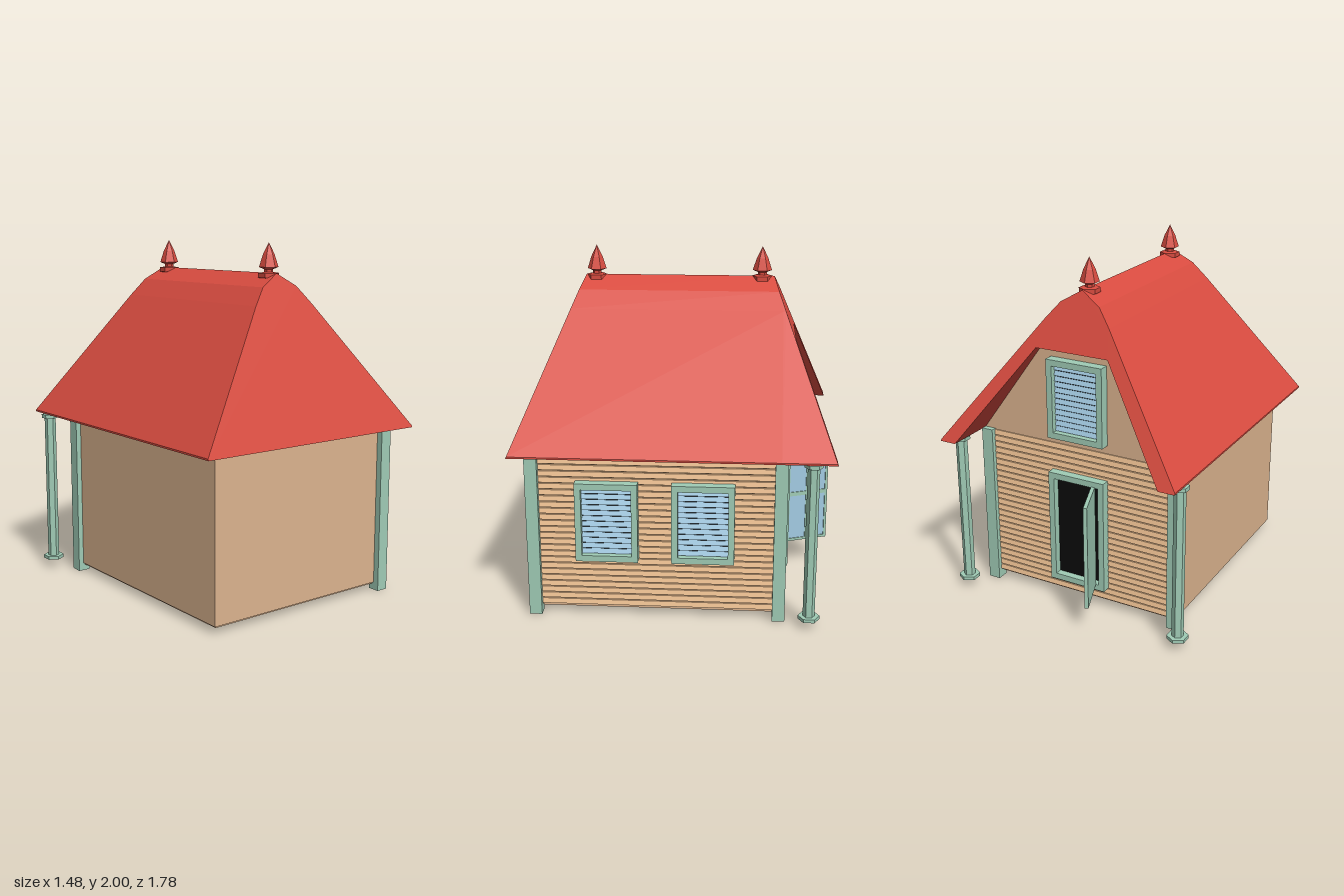
import * as THREE from 'three';

const paint = (color) => new THREE.MeshStandardMaterial({ color, flatShading: true, side: THREE.DoubleSide });

export function createModel() {
  const house = new THREE.Group();
  house.name = 'house';
  const red = paint(0xd94c40), green = paint(0xa0ccb6), plaster = paint(0xdcb48f);
  const wood = paint(0xf3c596), blue = paint(0xa3cbe3), black = paint(0x0a0a0a);

  const add = (name, geometry, material, parent = house) => {
    const mesh = new THREE.Mesh(geometry, material);
    mesh.name = name;
    parent.add(mesh);
    return mesh;
  };
  // Box given by its min and max corners
  const box = (name, [x0, y0, z0], [x1, y1, z1], material, parent) =>
    add(name, new THREE.BoxGeometry(x1 - x0, y1 - y0, z1 - z0)
      .translate((x0 + x1) / 2, (y0 + y1) / 2, (z0 + z1) / 2), material, parent);
  const shapeOf = (points) => new THREE.Shape(points.map(([x, y]) => new THREE.Vector2(x, y)));
  const extrude = (shape, depth) => new THREE.ExtrudeGeometry(shape, { depth, bevelEnabled: false });

  // Walls and floor
  box('walls', [-0.595, 0.045, -0.58], [0.59, 0.97, 0.78], plaster);
  box('floor', [-0.585, 0.035, -0.57], [0.585, 0.046, 0.77], plaster);

  // Gable wall under the open roof end
  const notch = [[0.63, 0.96], [0.22, 1.52], [-0.22, 1.52], [-0.63, 0.96]];
  const gable = add('gableWall', extrude(shapeOf(notch), 0.06), plaster);
  gable.position.set(0.005, 0, -0.588);

  // Clapboards: sawtooth profile swept along a wall
  const siding = (length) => {
    const n = 25, y0 = 0.05, pitch = 0.91 / n, pts = [[-0.01, y0]];
    for (let i = 0; i < n; i++) {
      const y = y0 + i * pitch;
      pts.push([0, y], [0.017, y + 0.007], [0.012, y + pitch * 0.97], [0, y + pitch * 0.98]);
    }
    pts.push([-0.01, 0.96]);
    return extrude(shapeOf(pts), length).translate(0, 0, -length / 2);
  };
  add('sideSiding', siding(1.34), wood).position.set(0.59, 0, 0.1);
  const backSiding = add('backSiding', siding(1.18), wood);
  backSiding.position.z = -0.58;
  backSiding.rotation.y = Math.PI / 2;

  // Corner posts
  for (const [x, z] of [[0.6, 0.78], [0.6, -0.585], [-0.59, -0.585]])
    box('cornerPost', [x - 0.035, 0, z - 0.035], [x + 0.035, 0.965, z + 0.035], green);

  // Porch columns
  const columnProfile = [[0, 0.05], [0.06, 0.05], [0.06, 0.07], [0.033, 0.07], [0.033, 0.935],
    [0.05, 0.935], [0.05, 0.957], [0, 0.957]].map(([r, y]) => new THREE.Vector2(r, y));
  for (const x of [-0.69, 0.685])
    add('porchColumn', new THREE.LatheGeometry(columnProfile, 6), green).position.set(x, 0, -0.75);

  // Roof: gable profiles whose ends are sloped by height
  const ridge = [[0.725, 0.97], [0.197, 1.67], [0.118, 1.765], [0, 1.835],
    [-0.118, 1.765], [-0.197, 1.67], [-0.725, 0.97]];
  const frontZ = (y) => 0.89 - 0.4 * (y - 0.96);
  const backZ = (y) => -0.875 + 0.395 * (y - 0.96);
  const innerZ = (y) => Math.max(-0.58, backZ(y));
  const roofPart = (name, points, startZ, endZ) => {
    const geometry = extrude(shapeOf(points), 1);
    const p = geometry.attributes.position;
    for (let i = 0; i < p.count; i++)
      p.setZ(i, (p.getZ(i) < 0.5 ? startZ : endZ)(p.getY(i)));
    geometry.computeVertexNormals();
    add(name, geometry, red).position.x = 0.005;
  };
  roofPart('roof', [[-0.725, 0.96], [0.725, 0.96], ...ridge], innerZ, frontZ);
  roofPart('backRoofOverhang',
    [[-0.725, 0.96], ...[...notch].reverse(), [0.725, 0.96], ...ridge], backZ, innerZ);

  // Roof finials
  const finialProfile = [[0, 1.80], [0.058, 1.81], [0.058, 1.835], [0.025, 1.84], [0.025, 1.855],
    [0.054, 1.867], [0.032, 1.935], [0, 2]].map(([r, y]) => new THREE.Vector2(r, y));
  for (const z of [0.48, -0.46])
    add('finial', new THREE.LatheGeometry(finialProfile, 6), red).position.z = z;

  // Rectangular frame centred on the origin, facing +z
  const frame = (name, w, h, border, depth, parent) => {
    const rect = (a, b) => [[-a, -b], [a, -b], [a, b], [-a, b]];
    const shape = shapeOf(rect(w / 2, h / 2));
    shape.holes.push(new THREE.Path(rect(w / 2 - border, h / 2 - border)
      .reverse().map(([x, y]) => new THREE.Vector2(x, y))));
    return add(name, extrude(shape, depth), green, parent);
  };

  // Louvred windows
  const louvredWindow = (name, x, y, z, turn) => {
    const group = new THREE.Group();
    group.name = name;
    frame('windowFrame', 0.345, 0.455, 0.035, 0.07, group);
    box('windowBacking', [-0.14, -0.195, 0.0], [0.14, 0.195, 0.022], black, group);
    const n = 12, pitch = 0.385 / n;
    for (let i = 0; i < n; i++) {
      const slat = add('louvre', new THREE.BoxGeometry(0.275, 0.028, 0.006), blue, group);
      slat.position.set(0, -0.1925 + (i + 0.5) * pitch, 0.036);
      slat.rotation.x = -0.35;
    }
    group.position.set(x, y, z);
    group.rotation.y = turn;
    house.add(group);
  };
  louvredWindow('frontSideWindow', 0.59, 0.572, 0.367, Math.PI / 2);
  louvredWindow('backSideWindow', 0.59, 0.572, -0.163, Math.PI / 2);
  louvredWindow('gableWindow', 0, 1.235, -0.575, Math.PI);

  // Doorway with dark interior
  const doorway = new THREE.Group();
  doorway.name = 'doorway';
  frame('doorFrame', 0.35, 0.67, 0.035, 0.07, doorway);
  box('doorOpening', [-0.145, -0.305, 0], [0.145, 0.305, 0.028], black, doorway);
  doorway.position.set(0, 0.465, -0.575);
  doorway.rotation.y = Math.PI;
  house.add(doorway);

  // Open door leaf: hinge at its local origin, glazed on the inner face
  const door = new THREE.Group();
  door.name = 'doorLeaf';
  box('doorBoard', [0, 0.165, -0.01], [0.265, 0.77, 0.004], green, door);
  box('doorGlass', [0.012, 0.18, 0.004], [0.253, 0.755, 0.006], blue, door);
  frame('doorRim', 0.265, 0.605, 0.016, 0.008, door).position.set(0.1325, 0.4675, 0.003);
  box('doorRail', [0.01, 0.46, 0.004], [0.255, 0.485, 0.011], green, door);
  box('doorStile', [0.123, 0.18, 0.004], [0.142, 0.755, 0.011], green, door);
  door.position.set(-0.11, 0, -0.64);
  door.rotation.y = Math.PI / 2 + 0.37;
  house.add(door);

  return house;
}
